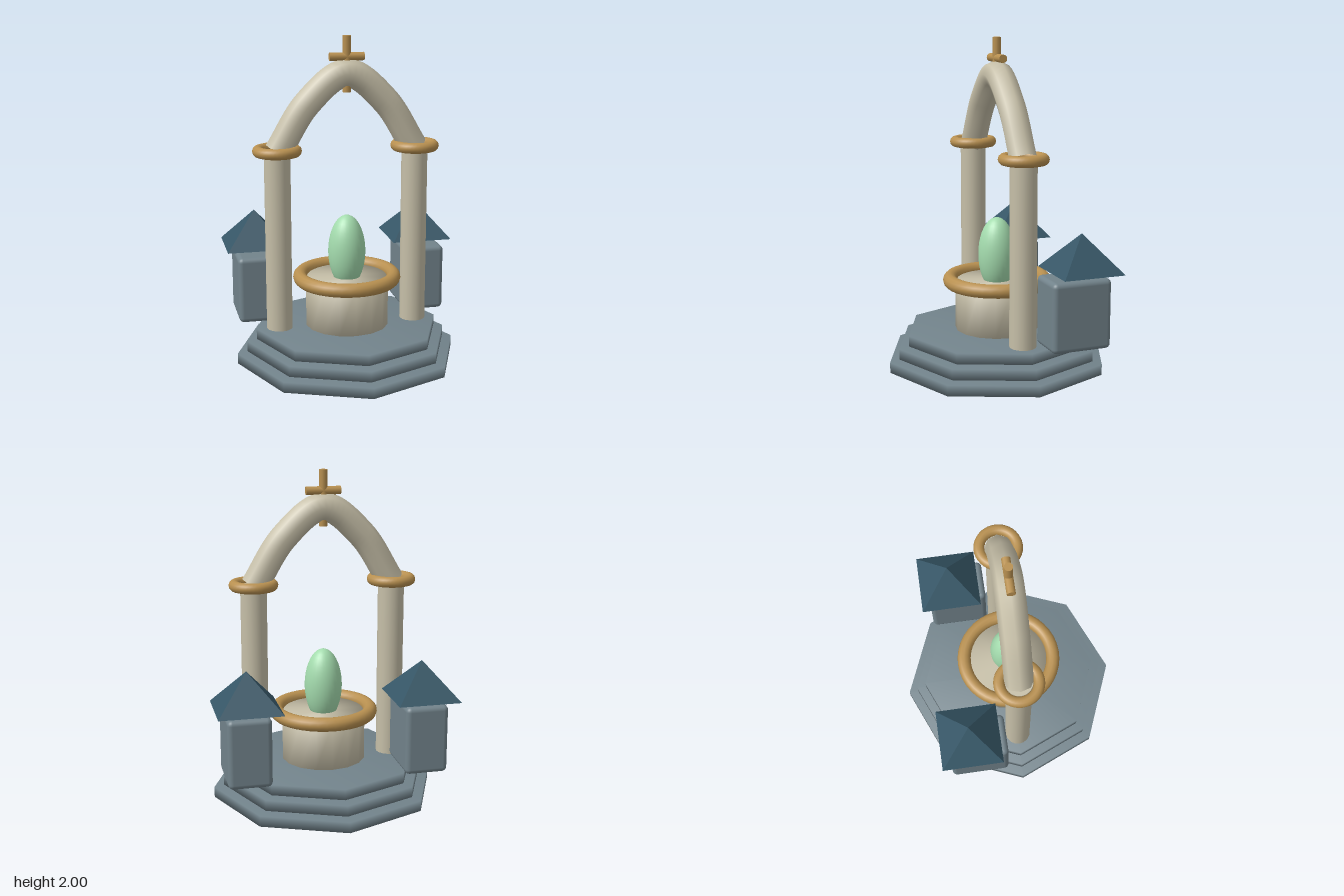
import * as THREE from 'three';
import { mergeVertices } from 'three/addons/utils/BufferGeometryUtils.js';
import { RoundedBoxGeometry } from 'three/addons/geometries/RoundedBoxGeometry.js';

const mat = (color, extra = {}) => new THREE.MeshStandardMaterial({ color, ...extra });

// Share vertices across edges so the shading runs smoothly over the whole solid
function soften(geometry) {
  geometry.deleteAttribute('normal');
  geometry.deleteAttribute('uv');
  const merged = mergeVertices(geometry);
  merged.computeVertexNormals();
  return merged;
}

export function createModel() {
  const model = new THREE.Group();
  model.name = 'shrine';

  const slate = mat(0x72838b);
  const stone = mat(0xc6bfa8);
  const gold = mat(0xb89050);
  const green = mat(0xa4dcae);
  const roofBlue = mat(0x365666, { flatShading: true });
  const archStone = mat(0xc6bfa8, { side: THREE.DoubleSide });

  function add(name, geometry, material, x, y, z) {
    const mesh = new THREE.Mesh(geometry, material);
    mesh.name = name;
    mesh.position.set(x, y, z);
    model.add(mesh);
    return mesh;
  }

  function addRing(name, radius, tube, x, y) {
    add(name, new THREE.TorusGeometry(radius, tube, 12, 40), gold, x, y, 0).rotation.x = Math.PI / 2;
  }

  // Three octagonal steps with narrow joints between them
  [0.69, 0.63, 0.57].forEach((radius, i) => {
    const step = soften(new THREE.CylinderGeometry(radius, radius, 0.065, 8));
    add('step' + (i + 1), step, slate, 0, 0.0325 + i * 0.076, 0);
  });

  // Basin with its rim and the egg-shaped stone
  add('basin', soften(new THREE.CylinderGeometry(0.258, 0.258, 0.305, 16)), stone, 0, 0.3675, 0);
  addRing('basinRim', 0.29, 0.043, 0, 0.52);
  add('egg', new THREE.SphereGeometry(0.115, 28, 20), green, 0, 0.68, 0).scale.y = 2;

  for (const side of [-1, 1]) {
    const prefix = side > 0 ? 'left' : 'right';

    // Column and collar
    add(prefix + 'Column', new THREE.CylinderGeometry(0.08, 0.08, 1.11, 16), stone, side * 0.425, 0.772, 0);
    addRing(prefix + 'Collar', 0.115, 0.033, side * 0.425, 1.327);

    // Small house with a floating pyramid roof
    add(prefix + 'House', new RoundedBoxGeometry(0.26, 0.418, 0.368, 3, 0.03), slate, side * 0.53, 0.432, -0.276);
    const roof = new THREE.ConeGeometry(0.19 * Math.SQRT2, 0.222, 4);
    roof.rotateY(Math.PI / 4);
    add(prefix + 'Roof', roof, roofBlue, side * 0.528, 0.782, -0.322);
  }

  // Arch joining the columns
  const path = new THREE.CatmullRomCurve3([
    [-0.42, 1.32], [-0.235, 1.61], [0, 1.78], [0.235, 1.61], [0.42, 1.32],
  ].map(([x, y]) => new THREE.Vector3(x, y, 0)));
  add('arch', new THREE.TubeGeometry(path, 40, 0.085, 8), archStone, 0, 0, 0);

  // Finial pin and crossbar
  add('finialPin', new THREE.CylinderGeometry(0.025, 0.025, 0.335, 12), gold, 0, 1.8325, 0);
  add('finialCrossbar', new THREE.CylinderGeometry(0.025, 0.025, 0.21, 12), gold, 0, 1.876, 0).rotation.z = Math.PI / 2;

  return model;
}
